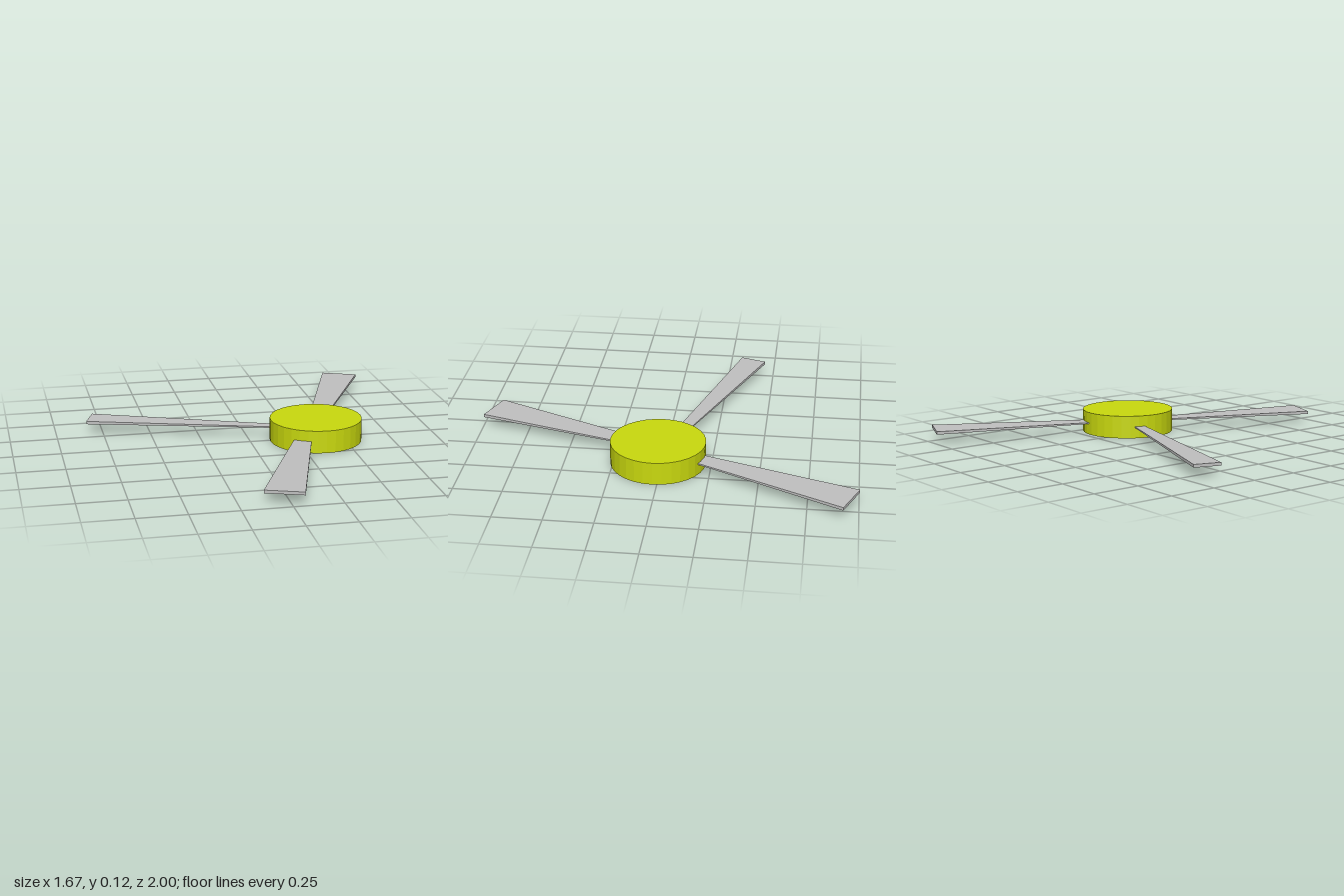
import * as THREE from 'three';

const hubYellow = new THREE.MeshStandardMaterial({ color: 0xc9d90e });
hubYellow.name = 'hubYellow';
hubYellow.flatShading = true;
const bladeGrey = new THREE.MeshStandardMaterial({ color: 0xc0c0c0 });
bladeGrey.name = 'bladeGrey';
bladeGrey.flatShading = true;

const MID_Y = 0.06;

// Blade widening and thickening from root to tip; root and tip are [x, z]
function makeBlade(name, root, tip, rootWidth, tipWidth) {
  const dx = tip[0] - root[0], dz = tip[1] - root[1];
  const length = Math.hypot(dx, dz), tipThick = 0.016;
  const geometry = new THREE.BoxGeometry(length, 1, 1);
  const pos = geometry.attributes.position;
  for (let i = 0; i < pos.count; i++) {
    const atTip = pos.getX(i) > 0;
    const width = atTip ? tipWidth : rootWidth;
    pos.setXYZ(i, atTip ? length : 0, pos.getY(i) * tipThick * width / tipWidth, pos.getZ(i) * width);
  }
  geometry.computeVertexNormals();
  const blade = new THREE.Mesh(geometry, bladeGrey);
  blade.name = name;
  blade.position.set(root[0], MID_Y, root[1]);
  blade.rotation.y = -Math.atan2(dz, dx);
  return blade;
}

export function createModel() {
  const model = new THREE.Group();
  model.name = 'rotor';

  // Round hub
  const hub = new THREE.Mesh(new THREE.CylinderGeometry(0.245, 0.245, 0.12, 32), hubYellow);
  hub.name = 'hub';
  hub.position.set(0.35, MID_Y, 0.023);
  model.add(hub);

  // Three blades, roots set slightly into the hub
  model.add(
    makeBlade('backBlade', [0.411, -0.183], [0.741, -0.963], 0.089, 0.199),
    makeBlade('rightBlade', [0.145, -0.058], [-0.815, -0.384], 0.055, 0.141),
    makeBlade('frontBlade', [0.24, 0.2], [-0.035, 0.963], 0.089, 0.199),
  );
  return model;
}
